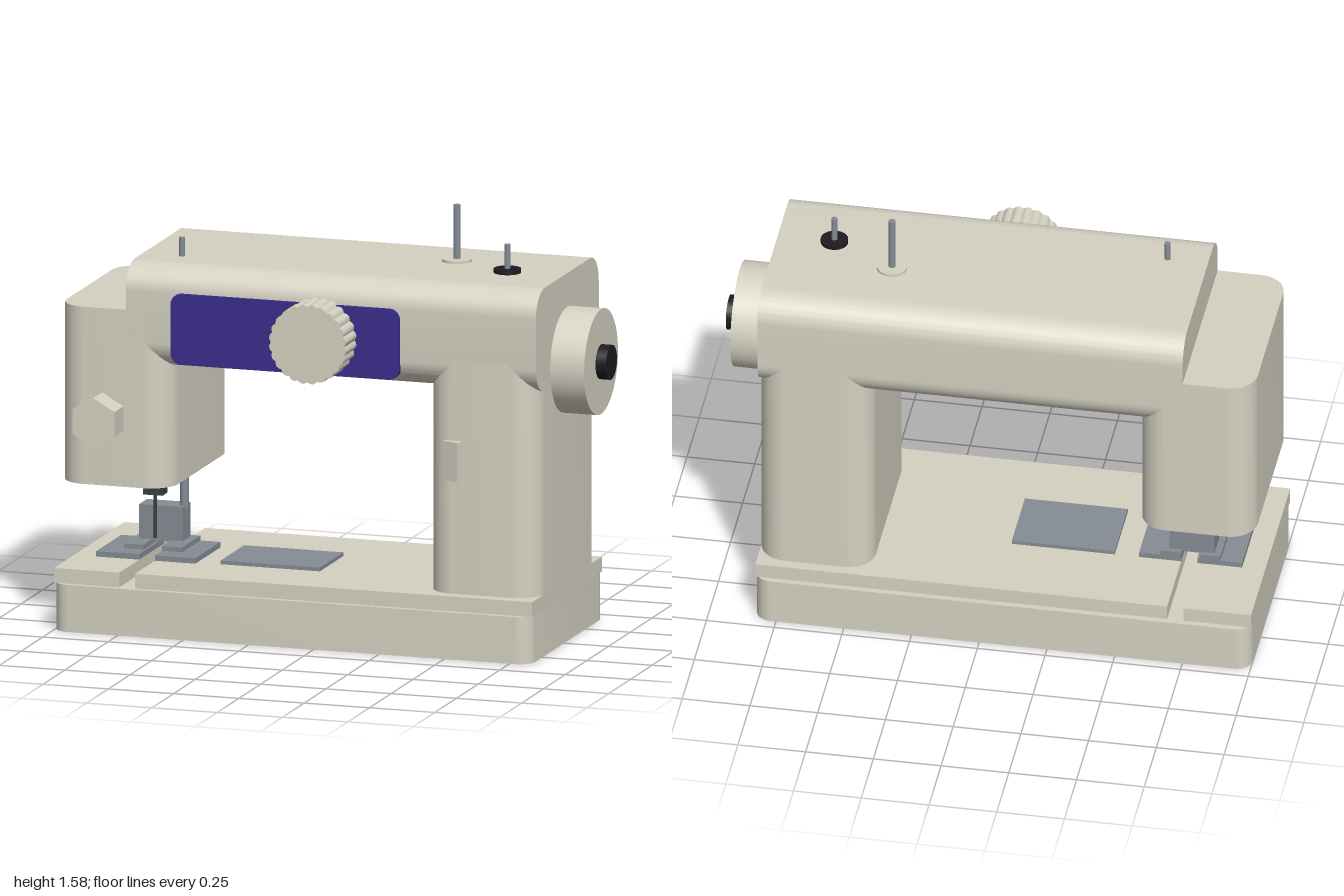
import * as THREE from 'three';
import { toCreasedNormals } from 'three/addons/utils/BufferGeometryUtils.js';

const material = (color) => new THREE.MeshStandardMaterial({ color });

export function createModel() {
  const group = new THREE.Group();
  const cream = material(0xd5d1c2);
  const metal = material(0x858c94);
  const black = material(0x1c1c20);
  const purple = material(0x3a2d8c);
  const dark = material(0x3a3d40);

  const add = (name, geometry, mat, x = 0, y = 0, z = 0) => {
    const mesh = new THREE.Mesh(geometry, mat);
    mesh.name = name;
    mesh.position.set(x, y, z);
    group.add(mesh);
    return mesh;
  };

  // Box given by its two extreme corners
  const box = (name, mat, x0, x1, y0, y1, z0, z1) =>
    add(name, new THREE.BoxGeometry(x1 - x0, y1 - y0, z1 - z0), mat,
      (x0 + x1) / 2, (y0 + y1) / 2, (z0 + z1) / 2);

  // Upright or turned cylinder starting at y0
  const rod = (name, mat, r, x, y0, y1, z, sides = 24) =>
    add(name, new THREE.CylinderGeometry(r, r, y1 - y0, sides), mat, x, (y0 + y1) / 2, z);

  const extrude = (shape, depth) => toCreasedNormals(
    new THREE.ExtrudeGeometry(shape, { depth, bevelEnabled: false, curveSegments: 10 }), 0.5);

  // Rectangle with rounded corners in the XY plane
  const roundRect = (x0, x1, y0, y1, r) => {
    const s = new THREE.Shape();
    s.absarc(x1 - r, y0 + r, r, -Math.PI / 2, 0);
    s.absarc(x1 - r, y1 - r, r, 0, Math.PI / 2);
    s.absarc(x0 + r, y1 - r, r, Math.PI / 2, Math.PI);
    s.absarc(x0 + r, y0 + r, r, Math.PI, Math.PI * 1.5);
    s.closePath();
    return s;
  };

  // Upright block with rounded vertical edges
  const pillar = (name, x0, x1, y0, y1, z0, z1, r) => {
    const g = extrude(roundRect(x0, x1, -z1, -z0, r), y1 - y0);
    g.rotateX(-Math.PI / 2);
    return add(name, g, cream, 0, y0, 0);
  };

  // Base and split bed
  pillar('base', -1, 0.83, 0, 0.175, -0.462, 0.39, 0.06);
  box('bedLeft', cream, -1, -0.75, 0.175, 0.23, -0.44, 0.37);
  box('bedRight', cream, -0.69, 0.83, 0.175, 0.23, -0.44, 0.37);

  // Column, head and horizontal arm
  pillar('column', 0.41, 0.83, 0.23, 1.1, -0.4, 0.325, 0.1);
  pillar('head', -1, -0.575, 0.54, 1.2, -0.4, 0.325, 0.1);
  const arm = extrude(roundRect(-0.325, 0.4, 0.988, 1.37, 0.1), 1.57);
  arm.rotateY(Math.PI / 2);
  add('arm', arm, cream, -0.74, 0, 0);

  // Front panel
  add('frontPanel', extrude(roundRect(-0.565, 0.31, 1.012, 1.275, 0.04), 0.025), purple, 0, 0, 0.312);

  // Fluted dial
  const points = [];
  const flutes = 24, steps = 5;
  for (let i = 0; i < flutes * steps; i++) {
    const a = (i / (flutes * steps)) * Math.PI * 2;
    const r = 0.14 + 0.008 * Math.abs(Math.sin((a * flutes) / 2));
    points.push(new THREE.Vector2(Math.cos(a) * r, Math.sin(a) * r));
  }
  add('dial', extrude(new THREE.Shape(points), 0.135), cream, 0, 1.15, 0.325);
  box('dialMark', cream, -0.03, 0.07, 1.145, 1.155, 0.458, 0.462);

  // Handwheel on the right end
  rod('handwheel', cream, 0.195, 0.895, 0.985, 1.115, -0.035, 64).rotation.z = Math.PI / 2;
  rod('handwheelHub', black, 0.064, 0.98, 1.03, 1.07, -0.035, 40).rotation.z = Math.PI / 2;
  for (const part of group.children.slice(-2)) part.position.y = 1.05;

  // Hexagonal knob on the head
  const knob = new THREE.CylinderGeometry(0.093, 0.093, 0.11, 6);
  knob.rotateX(Math.PI / 2);
  add('tensionKnob', toCreasedNormals(knob, 0.3), cream, -0.83, 0.793, 0.373);

  // Wedge-shaped reverse lever on the column
  const wedge = new THREE.Shape([
    new THREE.Vector2(0.48, -0.31), new THREE.Vector2(0.555, -0.31),
    new THREE.Vector2(0.54, -0.36), new THREE.Vector2(0.48, -0.337),
  ].reverse());
  const lever = extrude(wedge, 0.145);
  lever.rotateX(-Math.PI / 2);
  add('reverseLever', lever, cream, 0, 0.655, 0);

  // Thread guide and spool pins
  rod('threadGuide', metal, 0.011, -0.59, 1.36, 1.44, 0.13);
  rod('spoolPin', metal, 0.013, 0.385, 1.36, 1.58, -0.105);
  rod('spoolPinDisc', cream, 0.055, 0.385, 1.365, 1.38, -0.105, 40);
  rod('winderPin', metal, 0.011, 0.62, 1.36, 1.475, 0.02);
  rod('winderDisc', black, 0.05, 0.62, 1.365, 1.385, 0.02, 40);

  // Needle bar, clamp and needle
  rod('needleBar', metal, 0.02, -0.725, 0.5, 0.56, 0.03);
  box('needleClamp', dark, -0.763, -0.688, 0.455, 0.503, 0, 0.06);
  rod('needle', dark, 0.006, -0.725, 0.29, 0.46, 0.03, 12);

  // Presser bar and foot with two toes
  rod('presserBar', metal, 0.016, -0.65, 0.38, 0.56, -0.08);
  box('presserBlock', metal, -0.81, -0.643, 0.262, 0.395, -0.13, -0.04);
  box('footToeLeft', metal, -0.835, -0.76, 0.25, 0.268, -0.15, 0.06);
  box('footToeRight', metal, -0.69, -0.612, 0.25, 0.268, -0.15, 0.06);

  // Needle plates and bobbin cover on the bed
  box('needlePlateLeft', metal, -0.915, -0.75, 0.225, 0.25, -0.15, 0.14);
  box('needlePlateRight', metal, -0.69, -0.535, 0.225, 0.25, -0.15, 0.14);
  box('bedCover', metal, -0.445, -0.065, 0.225, 0.244, -0.15, 0.12);

  return group;
}
